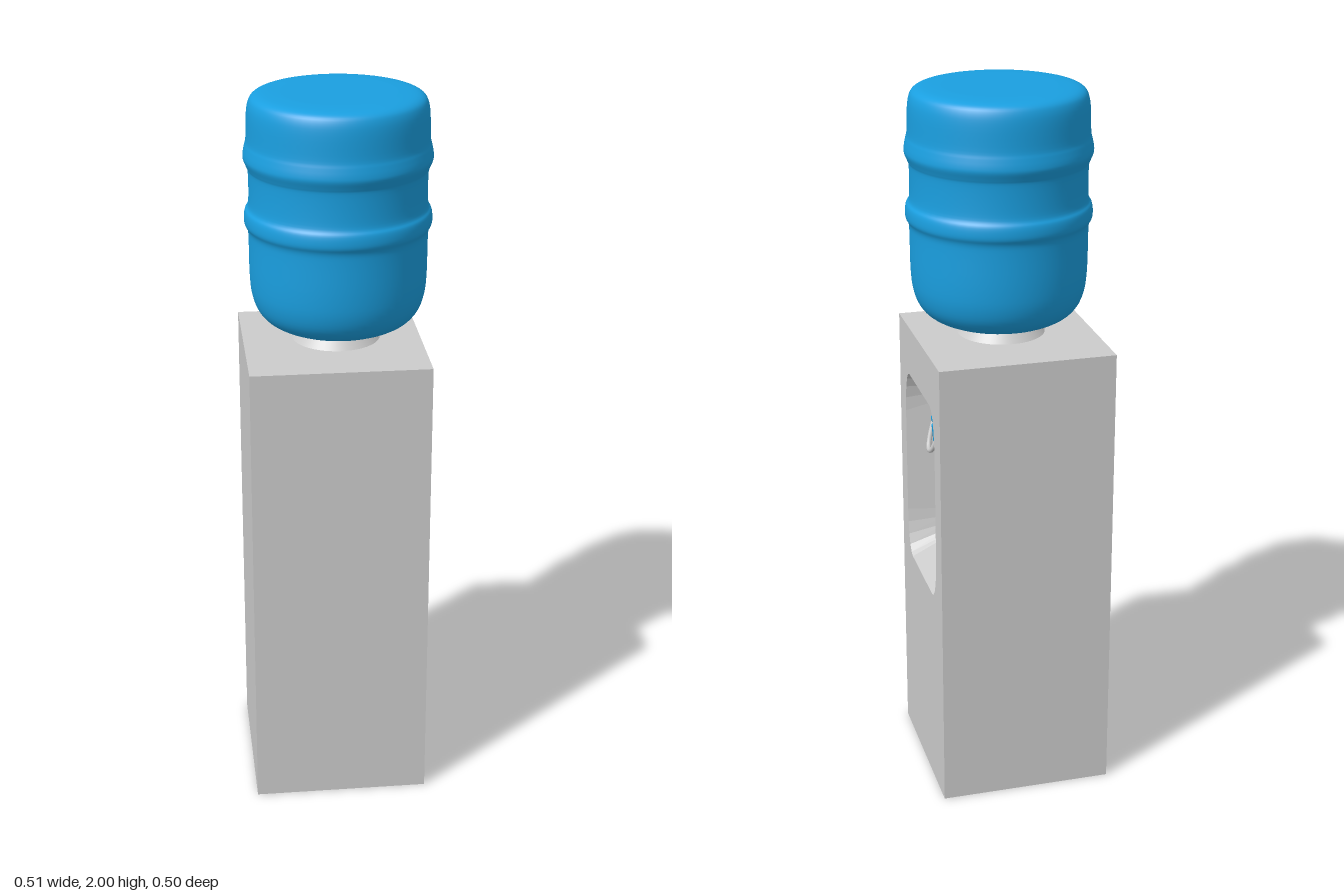
import * as THREE from 'three';

const grey = () => new THREE.MeshStandardMaterial({ color: 0xcccccc });
const colored = (color) => new THREE.MeshStandardMaterial({ color });
const BLUE = 0x1a9fe0, RED = 0xd8064a;
const FRONT = 0.23, HEIGHT = 1.31, WIDTH = 0.487;

function add(parent, name, geometry, material, x = 0, y = 0, z = 0) {
  const mesh = new THREE.Mesh(geometry, material);
  mesh.name = name;
  mesh.position.set(x, y, z);
  parent.add(mesh);
  return mesh;
}

// Rounded outline: half width, bottom, top, corner width and corner height
function outline(half, y0, y1, cw, ch) {
  const points = [];
  const corners = [[1, 1], [-1, 1], [-1, -1], [1, -1]];
  corners.forEach(([sx, sy], c) => {
    for (let i = 0; i <= 5; i++) {
      const a = (c + i / 5) * Math.PI / 2;
      points.push(new THREE.Vector2(
        sx * (half - cw) + Math.cos(a) * cw,
        (sy > 0 ? y1 - ch : y0 + ch) + Math.sin(a) * ch));
    }
  });
  return points;
}

// Skin between successive outlines, closed by the last one
function recessGeometry(rings) {
  const pos = [], index = [], n = rings[0].points.length;
  for (const { x, points } of rings) for (const p of points) pos.push(x, p.y, -p.x);
  for (let r = 0; r < rings.length - 1; r++) {
    for (let i = 0; i < n; i++) {
      const a = r * n + i, b = r * n + (i + 1) % n;
      index.push(a, a + n, b, b, a + n, b + n);
    }
  }
  const last = (rings.length - 1) * n;
  for (let i = 1; i < n - 1; i++) index.push(last, last + i, last + i + 1);
  const g = new THREE.BufferGeometry();
  g.setAttribute('position', new THREE.Float32BufferAttribute(pos, 3));
  g.setIndex(index);
  g.computeVertexNormals();
  return g;
}

function createCabinet() {
  const cabinet = new THREE.Group();
  cabinet.name = 'cabinet';

  // Box without its +x side
  const box = new THREE.BoxGeometry(WIDTH, HEIGHT, WIDTH);
  box.setIndex(Array.from(box.index.array).slice(6));
  box.clearGroups();
  add(cabinet, 'cabinetShell', box, grey(), FRONT - WIDTH / 2, HEIGHT / 2, 0);

  // Dispensing side with its opening
  const mouth = outline(0.177, 0.6, 1.17, 0.052, 0.13);
  const w = WIDTH / 2;
  const panel = new THREE.Shape([[-w, 0], [w, 0], [w, HEIGHT], [-w, HEIGHT]]
    .map(([u, v]) => new THREE.Vector2(u, v)));
  panel.holes.push(new THREE.Path(mouth));
  add(cabinet, 'dispenserPanel', new THREE.ShapeGeometry(panel).rotateY(Math.PI / 2), grey(), FRONT);

  // Tapering recess whose floor curves up into the back wall
  const rings = [
    { x: FRONT, points: mouth },
    { x: 0.13, points: outline(0.153, 0.65, 1.153, 0.03, 0.08) },
    { x: 0.095, points: outline(0.137, 0.685, 1.147, 0.018, 0.04) },
    { x: 0.08, points: outline(0.125, 0.74, 1.145, 0.008, 0.012) },
  ];
  const material = grey();
  material.flatShading = true;
  material.side = THREE.DoubleSide;
  add(cabinet, 'recess', recessGeometry(rings), material);
  return cabinet;
}

function createTap(name, color, z) {
  const tap = new THREE.Group();
  tap.name = name;
  const material = colored(color);
  // Stem out of the back wall and vertical spout
  const stem = new THREE.CylinderGeometry(0.024, 0.024, 0.08, 16).rotateZ(Math.PI / 2);
  add(tap, 'stem', stem, material, 0.04, 1.0, 0);
  add(tap, 'spout', new THREE.CylinderGeometry(0.033, 0.024, 0.1, 20), material, 0.075, 0.99, 0);

  // Fan-shaped body plate with a crossbar on top
  const plate = new THREE.Shape([[-0.042, 0.94], [0.042, 0.94], [0.036, 0.985], [0.048, 1.05], [-0.048, 1.05], [-0.036, 0.985]]
    .map(([u, v]) => new THREE.Vector2(u, v)));
  const plateGeometry = new THREE.ExtrudeGeometry(plate, { depth: 0.02, bevelEnabled: false });
  add(tap, 'body', plateGeometry.rotateY(Math.PI / 2), material, 0.065, 0, 0);
  const bar = new THREE.CapsuleGeometry(0.016, 0.08, 4, 12).rotateX(Math.PI / 2);
  add(tap, 'crossbar', bar, material, 0.085, 1.046, 0);

  // Pale U-shaped push lever
  const path = new THREE.CatmullRomCurve3([
    [0.09, 1.045, -0.044], [0.104, 1.005, -0.033], [0.113, 0.975, -0.018], [0.116, 0.967, 0],
    [0.113, 0.975, 0.018], [0.104, 1.005, 0.033], [0.09, 1.045, 0.044],
  ].map((p) => new THREE.Vector3(...p)));
  add(tap, 'lever', new THREE.TubeGeometry(path, 28, 0.007, 8), grey());

  tap.position.set(0.078, 0, z);
  return tap;
}

// Bottle profile: smooth curve through shoulder, two raised ribs and base
function createBottle() {
  const curve = new THREE.SplineCurve([
    [0.07, 1.338], [0.11, 1.35], [0.18, 1.375], [0.215, 1.405], [0.233, 1.45], [0.239, 1.51], [0.24, 1.6],
    [0.242, 1.632], [0.25, 1.65], [0.251, 1.668], [0.248, 1.685], [0.24, 1.7], [0.238, 1.74], [0.239, 1.79],
    [0.243, 1.805], [0.251, 1.825], [0.251, 1.84], [0.247, 1.86], [0.243, 1.88], [0.241, 1.94],
    [0.236, 1.972], [0.225, 1.989], [0.2, 1.997], [0.15, 2],
  ].map(([r, y]) => new THREE.Vector2(r, y)));
  const points = [new THREE.Vector2(0, 1.338), ...curve.getPoints(92), new THREE.Vector2(0, 2)];
  return new THREE.LatheGeometry(points, 64);
}

export function createModel() {
  const model = new THREE.Group();
  model.name = 'waterCooler';
  model.add(createCabinet());
  model.add(createTap('coldTap', BLUE, 0.044));
  model.add(createTap('hotTap', RED, -0.072));

  // Inverted bottle, its neck and the flared collar
  add(model, 'bottle', createBottle(), colored(BLUE), 0.003);
  add(model, 'bottleNeck', new THREE.CylinderGeometry(0.072, 0.072, 0.05, 40), colored(BLUE), 0, 1.33, 0);
  add(model, 'collar', new THREE.CylinderGeometry(0.09, 0.12, 0.04, 48), grey(), -0.003, 1.342, 0);
  return model;
}
